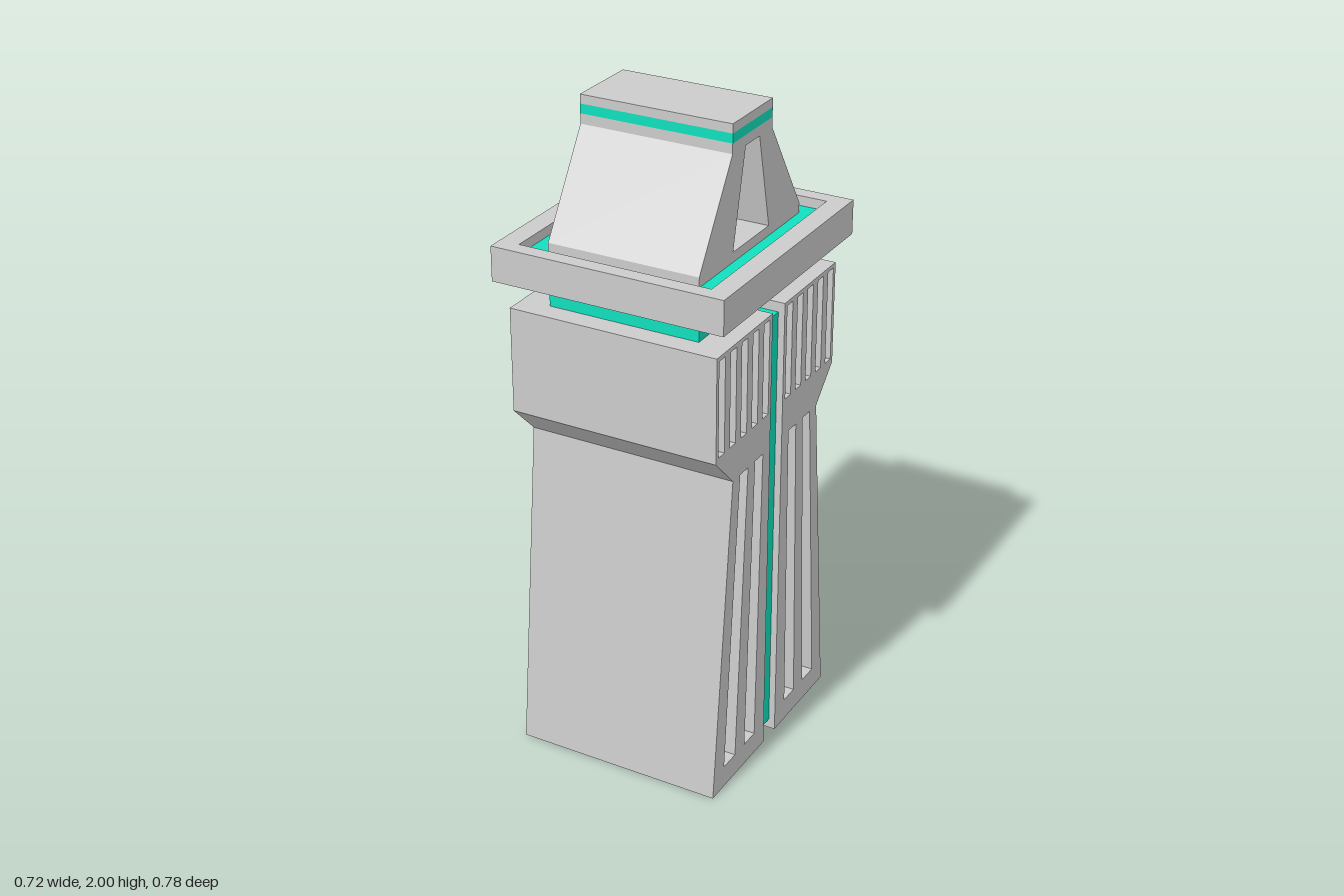
import * as THREE from 'three';

const grey = new THREE.MeshStandardMaterial({ color: 0xcccccc });
const teal = new THREE.MeshStandardMaterial({ color: 0x10dfbc });
const purple = new THREE.MeshStandardMaterial({ color: 0xd500f9 });

const points = (list) => list.map(([a, b]) => new THREE.Vector2(a, b));

// Extrudes a [z, y] profile along x, centred on x = 0.
// A profile with holes runs clockwise in [z, y].
function sideExtrude(name, profile, halfWidth, material, holes = []) {
  const shape = new THREE.Shape(points(profile.map(([z, y]) => [-z, y])));
  for (const h of holes) shape.holes.push(new THREE.Path(points(h.map(([z, y]) => [-z, y]))));
  const geometry = new THREE.ExtrudeGeometry(shape, { depth: 2 * halfWidth, bevelEnabled: false });
  geometry.translate(0, 0, -halfWidth);
  geometry.rotateY(Math.PI / 2);
  const mesh = new THREE.Mesh(geometry, material);
  mesh.name = name;
  return mesh;
}

// Box given by its half width, bottom and top heights and z range
function box(name, halfWidth, y0, y1, z0, z1, material) {
  const mesh = new THREE.Mesh(new THREE.BoxGeometry(2 * halfWidth, y1 - y0, z1 - z0), material);
  mesh.position.set(0, (y0 + y1) / 2, (z0 + z1) / 2);
  mesh.name = name;
  return mesh;
}

// One tapered half of the tower with slots in its sides
function createHalf(name) {
  const half = new THREE.Group();
  half.name = name;
  const lowerSlots = [
    [[0.223, 0.07], [0.292, 0.07], [0.217, 1.02], [0.17, 1.02]],
    [[0.1, 0.07], [0.164, 0.07], [0.127, 1.02], [0.08, 1.02]],
  ];
  const upperSlots = [];
  for (let i = 0; i < 5; i++) {
    const z = 0.07 + i * 0.0648;
    upperSlots.push([[z - 0.017, 1.135], [z + 0.017, 1.135], [z + 0.017, 1.427], [z - 0.017, 1.427]]);
  }
  const profile = [[0.037, 0], [0.037, 1.44], [0.36, 1.44], [0.36, 1.12], [0.26, 1.02], [0.36, 0]];
  half.add(sideExtrude('shell', profile, 0.325, grey, [...lowerSlots, ...upperSlots]));

  // Coloured fillings, set back from the slot openings
  for (const slot of lowerSlots) half.add(sideExtrude('lowerSlotFilling', slot, 0.272, teal));
  for (const slot of upperSlots) half.add(sideExtrude('upperSlotFilling', slot, 0.272, purple));

  // Neck carrying the tray
  half.add(box('neck', 0.235, 1.44, 1.53, 0.101, 0.295, teal));
  return half;
}

export function createModel() {
  const model = new THREE.Group();
  model.name = 'tower';

  // Two mirrored halves with a slab between them
  const front = createHalf('frontHalf');
  const back = createHalf('backHalf');
  back.rotation.y = Math.PI;
  model.add(front, back);
  model.add(box('centreSlab', 0.305, 0.03, 1.41, -0.037, 0.037, teal));

  // Tray: a raised rim around a sunken floor
  const rimShape = new THREE.Shape(points([[-0.36, -0.39], [0.36, -0.39], [0.36, 0.39], [-0.36, 0.39]]));
  rimShape.holes.push(new THREE.Path(points([[-0.298, -0.343], [0.298, -0.343], [0.298, 0.343], [-0.298, 0.343]])));
  const rimGeometry = new THREE.ExtrudeGeometry(rimShape, { depth: 0.105, bevelEnabled: false });
  rimGeometry.rotateX(-Math.PI / 2);
  const rim = new THREE.Mesh(rimGeometry, grey);
  rim.name = 'trayRim';
  rim.position.y = 1.525;
  model.add(rim);
  model.add(box('trayBase', 0.298, 1.525, 1.56, -0.343, 0.343, grey));
  model.add(box('trayFloor', 0.298, 1.56, 1.6, -0.343, 0.343, teal));

  // Cap: sloping block with an opening through it
  const capProfile = [
    [-0.295, 1.6], [-0.295, 1.63], [-0.115, 1.915], [-0.115, 1.945],
    [0.115, 1.945], [0.115, 1.915], [0.295, 1.63], [0.295, 1.6],
  ];
  const capOpening = [[-0.105, 1.63], [0.105, 1.63], [0.04, 1.915], [-0.04, 1.915]];
  model.add(sideExtrude('cap', capProfile, 0.235, grey, [capOpening]));
  model.add(box('capStripe', 0.235, 1.945, 1.973, -0.115, 0.115, teal));
  model.add(box('capTop', 0.235, 1.973, 2, -0.115, 0.115, grey));

  return model;
}
